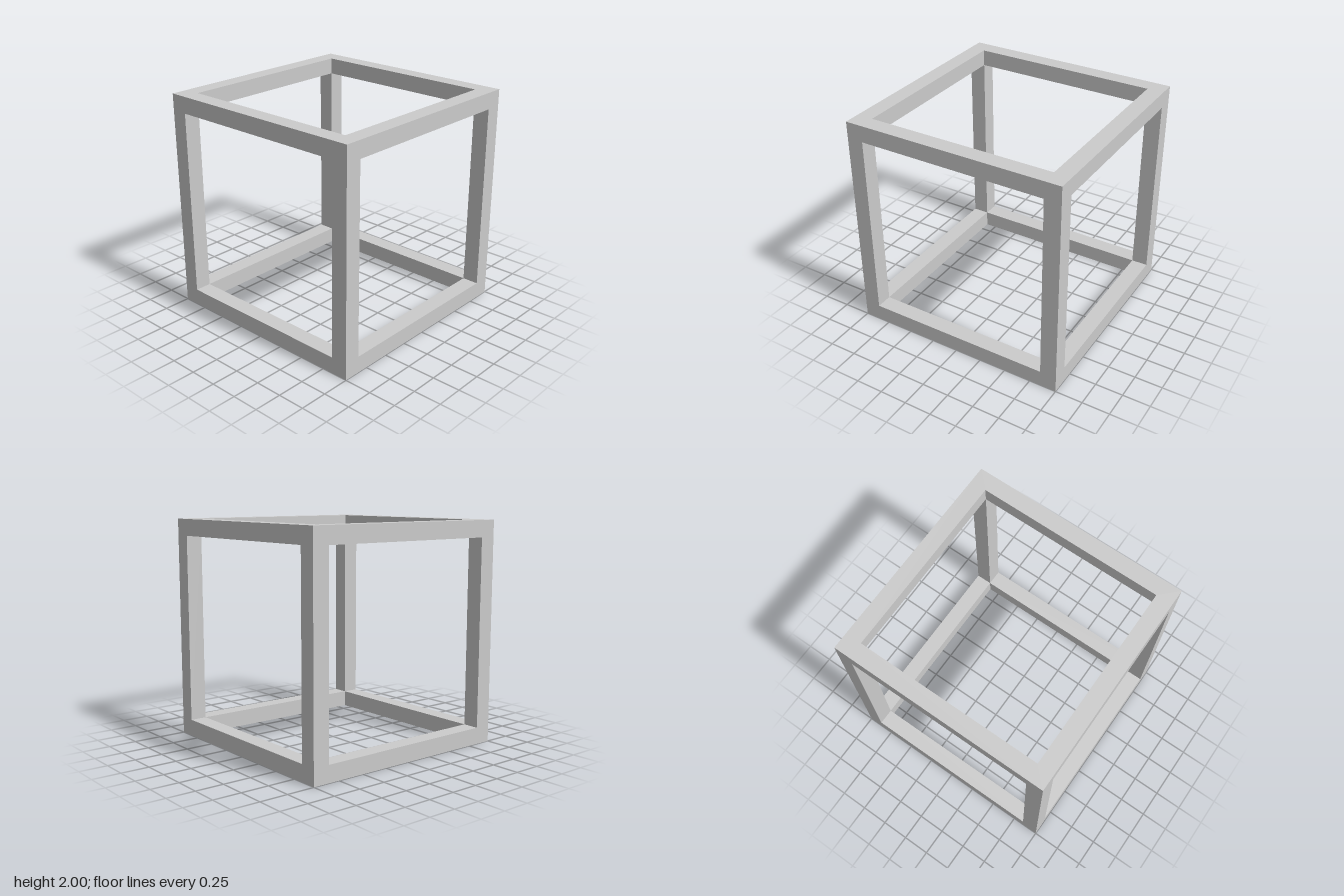
import * as THREE from 'three';

const SIZE = 2;
const BAR = 0.15;
const INNER = SIZE - 2 * BAR;

// Closed square outline centred on the origin
function square(PathType, side) {
  const h = side / 2;
  return new PathType([[-h, -h], [h, -h], [h, h], [-h, h]].map(([x, y]) => new THREE.Vector2(x, y))).closePath();
}

export function createModel() {
  const group = new THREE.Group();
  group.name = 'openCubeFrame';
  const material = new THREE.MeshStandardMaterial({ color: 0xcccccc, flatShading: true });

  const add = (geometry, name, x, y, z) => {
    const mesh = new THREE.Mesh(geometry, material);
    mesh.name = name;
    mesh.position.set(x, y, z);
    group.add(mesh);
  };

  // Square rings at the bottom and the top
  const outline = square(THREE.Shape, SIZE);
  outline.holes.push(square(THREE.Path, INNER));
  const ring = new THREE.ExtrudeGeometry(outline, { depth: BAR, bevelEnabled: false });
  ring.rotateX(-Math.PI / 2);
  add(ring, 'bottomRing', 0, 0, 0);
  add(ring, 'topRing', 0, SIZE - BAR, 0);

  // Four corner posts between the rings
  const post = new THREE.BoxGeometry(BAR, INNER, BAR);
  const offset = (SIZE - BAR) / 2;
  for (const [xName, sx] of [['Left', 1], ['Right', -1]]) {
    for (const [zName, sz] of [['front', 1], ['back', -1]]) {
      add(post, `${zName}${xName}Post`, sx * offset, SIZE / 2, sz * offset);
    }
  }

  return group;
}
